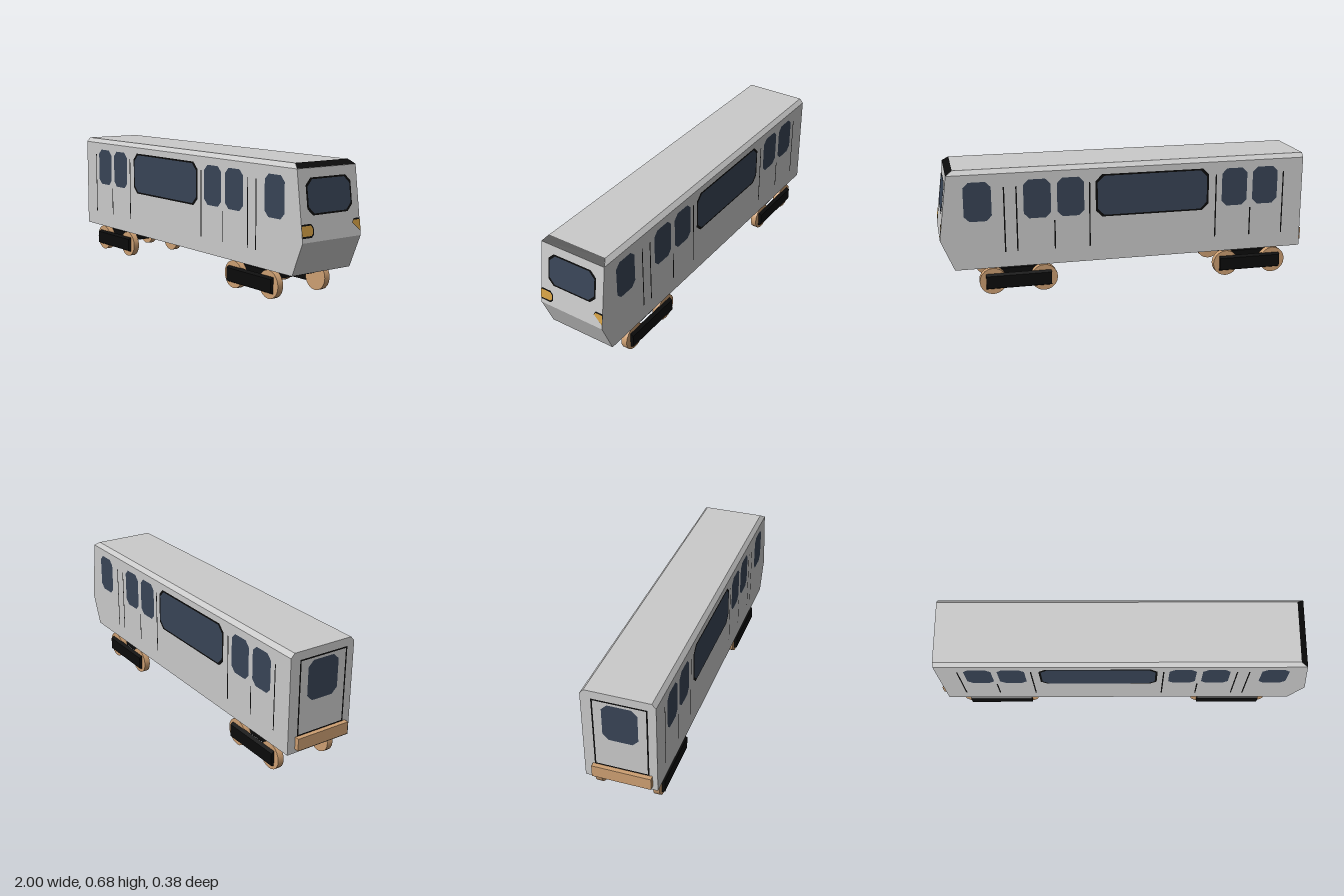
import * as THREE from 'three';
import { ConvexGeometry } from 'three/addons/geometries/ConvexGeometry.js';

const material = (name, color) => {
  const m = new THREE.MeshStandardMaterial({ color });
  m.name = name;
  return m;
};

// Rectangle outline with cut corners, centred on (x, y)
function cutRect(x, y, w, h, c) {
  const a = w / 2, b = h / 2;
  const corners = [[-a + c, -b], [a - c, -b], [a, -b + c], [a, b - c],
    [a - c, b], [-a + c, b], [-a, b - c], [-a, -b + c]];
  return corners.map(([px, py]) => new THREE.Vector2(x + px, y + py));
}

export function createModel() {
  const silver = material('silver', 0xcacaca);
  const black = material('black', 0x0b0b0b);
  const glass = material('window glass', 0x384456);
  const amber = material('amber', 0xd3a045);
  const tan = material('tan', 0xcd9f72);

  const model = new THREE.Group();
  model.name = 'railCar';

  const add = (parent, name, geometry, mat, x = 0, y = 0, z = 0) => {
    const mesh = new THREE.Mesh(geometry, mat);
    mesh.name = name;
    mesh.position.set(x, y, z);
    parent.add(mesh);
    return mesh;
  };
  const addGroup = (parent, name, x = 0, y = 0, z = 0) => {
    const g = new THREE.Group();
    g.name = name;
    g.position.set(x, y, z);
    parent.add(g);
    return g;
  };
  // Flat face in the parent's xy plane, raised by a small amount
  const face = (parent, name, points, mat, lift) =>
    add(parent, name, new THREE.ShapeGeometry(new THREE.Shape(points)), mat, 0, 0, lift);
  const v2 = (pairs) => pairs.map(([x, y]) => new THREE.Vector2(x, y));

  // Body shell: slanted cab nose and bevelled roof edges
  const W = 0.187;
  const car = addGroup(model, 'car', 0, 0, 0.003);
  const hull = [];
  for (const s of [-1, 1]) {
    for (const [x, y, z] of [
      [-0.975, 0.15, W], [0.93, 0.15, W], [1, 0.315, W], [0.955, 0.654, W], [-0.975, 0.654, W],
      [-0.975, 0.677, 0.167], [0.92, 0.677, 0.167],
    ]) hull.push(new THREE.Vector3(x, y, s * z));
  }
  add(car, 'bodyShell', new ConvexGeometry(hull), silver);

  // Windows and door seams, the same on both sides
  const smallWindows = [-0.758, -0.583, 0.318, 0.494, 0.802];
  const seams = [[-0.863, 0.583], [-0.676, 0.39], [-0.478, 0.583], [0.217, 0.583],
    [0.404, 0.39], [0.602, 0.583], [0.666, 0.583]];
  for (const s of [1, -1]) {
    const side = addGroup(car, s > 0 ? 'frontSide' : 'backSide', 0, 0, s * W);
    side.rotation.y = s > 0 ? 0 : Math.PI;
    for (const x of smallWindows) {
      face(side, 'sideWindow', cutRect(s * x, 0.511, 0.143, 0.208, 0.028), glass, 0.0015);
    }
    face(side, 'longWindowFrame', cutRect(s * -0.126, 0.506, 0.622, 0.23, 0.035), black, 0.001);
    face(side, 'longWindow', cutRect(s * -0.126, 0.506, 0.6, 0.212, 0.035), glass, 0.002);
    for (const [x, top] of seams) {
      face(side, 'doorSeam', cutRect(s * x, (top + 0.233) / 2, 0.007, top - 0.233, 0), black, 0.001);
    }
  }

  // Cab face details, laid on the slanted plane (local x runs towards -z)
  const cab = addGroup(car, 'cabFace', 1, 0.315, 0);
  cab.rotation.set(-Math.atan2(0.045, 0.339), Math.PI / 2, 0, 'YXZ');
  face(cab, 'windscreenFrame', cutRect(0, 0.21, 0.287, 0.175, 0.032), black, 0.001);
  face(cab, 'windscreen', cutRect(0, 0.21, 0.268, 0.158, 0.032), glass, 0.002);
  face(cab, 'lampSurround', v2([[-W, 0.021], [-0.128, 0.021], [-0.113, 0.036],
    [-0.113, 0.068], [-0.128, 0.086], [-W, 0.086]]), black, 0.001);
  face(cab, 'headLamp', v2([[-W, 0.03], [-0.13, 0.03], [-0.12, 0.04],
    [-0.12, 0.066], [-0.13, 0.078], [-W, 0.078]]), amber, 0.002);
  face(cab, 'lampSurround', v2([[W, 0.021], [0.135, 0.066], [0.148, 0.086], [W, 0.086]]), black, 0.001);
  face(cab, 'headLamp', v2([[W, 0.023], [0.137, 0.066], [0.146, 0.078], [W, 0.078]]), amber, 0.002);

  // Black bevel above the windscreen
  const brow = addGroup(car, 'cabBrow', 0.955, 0.654, 0);
  brow.rotation.set(-Math.atan2(0.035, 0.023), Math.PI / 2, 0, 'YXZ');
  const rise = Math.hypot(0.035, 0.023);
  face(brow, 'browPanel', v2([[-W, 0], [W, 0], [0.167, rise], [-0.167, rise]]), black, 0.001);

  // Rear end door and bumper
  const rear = addGroup(car, 'rearEnd', -0.975, 0, 0);
  rear.rotation.y = -Math.PI / 2;
  const outline = new THREE.Shape(cutRect(0.006, 0.435, 0.28, 0.4, 0));
  outline.holes.push(new THREE.Path(cutRect(0.006, 0.435, 0.264, 0.384, 0)));
  add(rear, 'rearDoorOutline', new THREE.ShapeGeometry(outline), black, 0, 0, 0.001);
  face(rear, 'rearWindow', cutRect(0.006, 0.511, 0.18, 0.208, 0.03), glass, 0.0015);
  add(model, 'rearBumper', new THREE.BoxGeometry(0.025, 0.065, 0.305), tan, -0.9875, 0.204, 0.012);

  // Bogies: frame plate, bolster, side frames and four wheels
  const wheelGeometry = new THREE.CylinderGeometry(0.0715, 0.0715, 0.033, 20).rotateX(Math.PI / 2);
  const sidePoints = [];
  for (const x of [-0.173, 0.173]) {
    for (const [y, z] of [[0.028, 0.168], [0.114, 0.168], [0.104, 0.187], [0.037, 0.187]]) {
      sidePoints.push(new THREE.Vector3(x, y, z));
    }
  }
  const sideFrameGeometry = new ConvexGeometry(sidePoints);
  for (const x of [-0.688, 0.599]) {
    const bogie = addGroup(model, 'bogie', x, 0, -0.003);
    add(bogie, 'framePlate', new THREE.BoxGeometry(0.25, 0.043, 0.274), black, 0, 0.1065);
    add(bogie, 'bolster', new THREE.BoxGeometry(0.198, 0.026, 0.22), black, 0, 0.139, 0.006);
    for (const s of [-1, 1]) {
      const frame = add(bogie, 'sideFrame', sideFrameGeometry, black);
      frame.rotation.y = s > 0 ? 0 : Math.PI;
      for (const wx of [-0.136, 0.136]) add(bogie, 'wheel', wheelGeometry, tan, wx, 0.0715, s * 0.1535);
    }
  }
  return model;
}
